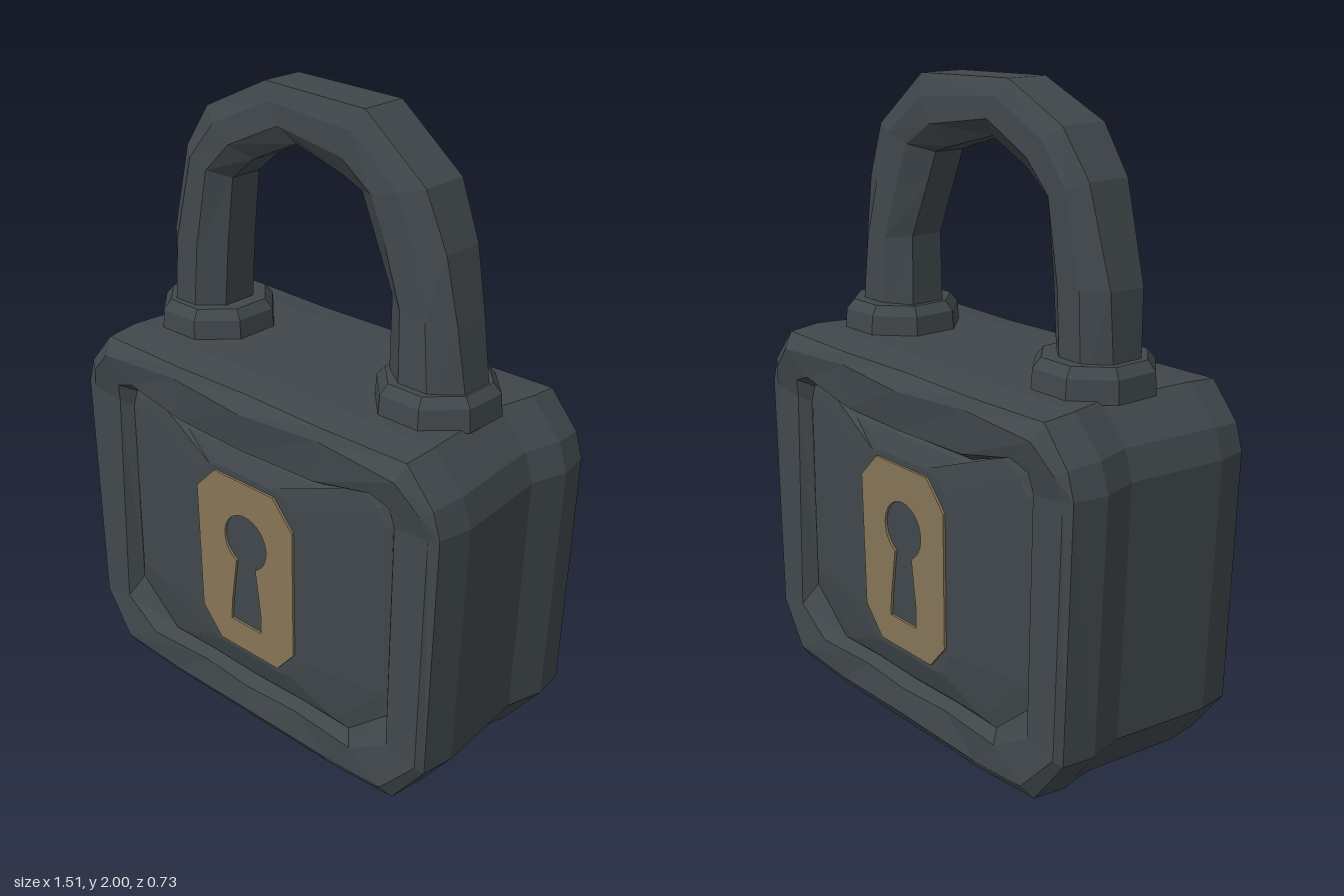
import * as THREE from 'three';

const mat = (name, color) => {
  const m = new THREE.MeshStandardMaterial({ color });
  m.name = name;
  return m;
};

// Skins a list of equal-length rings (counter-clockwise seen from the last ring) and caps both ends.
function loft(rings) {
  const pos = [];
  const tri = (...pts) => pts.forEach((p) => pos.push(...p));
  const n = rings[0].length;
  for (let r = 0; r < rings.length - 1; r++) {
    const a = rings[r], b = rings[r + 1];
    for (let i = 0; i < n; i++) {
      const j = (i + 1) % n;
      tri(a[i], a[j], b[j]);
      tri(a[i], b[j], b[i]);
    }
  }
  const mid = (ring) => [0, 1, 2].map((k) => ring.reduce((s, p) => s + p[k], 0) / n);
  const first = rings[0], last = rings[rings.length - 1];
  for (let i = 0; i < n; i++) {
    const j = (i + 1) % n;
    tri(mid(first), first[j], first[i]);
    tri(mid(last), last[i], last[j]);
  }
  const g = new THREE.BufferGeometry();
  g.setAttribute('position', new THREE.Float32BufferAttribute(pos, 3));
  g.computeVertexNormals(); // unshared corners give flat facets
  return g;
}

// Mirrors a right-hand half outline (bottom centre to top centre) into a closed ring; z is a number or list.
function ring(half, z, sx = 1) {
  const right = half.map(([x, y], i) => [x * sx, y, Array.isArray(z) ? z[i] : z]);
  const left = right.slice(1, -1).reverse().map(([x, y, d]) => [-x, y, d]);
  return [...right, ...left];
}

function bodyGeometry() {
  const outer = [[0, 0], [0.35, 0], [0.6, 0.02], [0.725, 0.18], [0.755, 0.97], [0.725, 1.06], [0.62, 1.17], [0.3, 1.17], [0, 1.17]];
  const edge = [[0, 0.01], [0.35, 0.01], [0.59, 0.025], [0.71, 0.18], [0.735, 0.97], [0.71, 1.05], [0.615, 1.16], [0.3, 1.155], [0, 1.16]];
  const face = [[0, 0.06], [0.34, 0.04], [0.57, 0.07], [0.69, 0.2], [0.7, 0.96], [0.68, 1.03], [0.6, 1.11], [0.3, 1.12], [0, 1.11]];
  const opening = [[0, 0.14], [0.2, 0.145], [0.44, 0.14], [0.58, 0.22], [0.58, 0.95], [0.57, 1.01], [0.5, 1.035], [0.28, 0.985], [0, 0.985]];
  const groove = [[0, 0.155], [0.2, 0.16], [0.39, 0.155], [0.55, 0.29], [0.55, 0.93], [0.53, 0.99], [0.47, 1.02], [0.28, 0.96], [0, 0.958]];
  const panel = [[0, 0.165], [0.2, 0.17], [0.34, 0.17], [0.535, 0.36], [0.53, 0.92], [0.5, 0.97], [0.43, 1.01], [0.28, 0.95], [0, 0.95]];
  const flat = [[0, 0.25], [0.14, 0.25], [0.17, 0.26], [0.22, 0.33], [0.22, 0.8], [0.2, 0.84], [0.16, 0.88], [0.1, 0.89], [0, 0.89]];
  const faceZ = [0.362, 0.345, 0.36, 0.345, 0.332, 0.345, 0.36, 0.342, 0.364];
  const openZ = [0.35, 0.342, 0.352, 0.345, 0.33, 0.34, 0.345, 0.338, 0.35];

  // Front half: sides, raised frame, groove, shallow domed panel
  const front = [
    ring(outer, 0.22),
    ring(edge, 0.325),
    ring(face, faceZ),
    ring(opening, openZ),
    ring(groove, 0.298),
    ring(panel, 0.308),
    ring(flat, 0.334),
  ];
  const back = front.map((r) => r.map(([x, y, z]) => [x, y, -z])).reverse();
  return loft([...back, ring(outer, -0.1, 0.955), ...front]);
}

function shackleGeometry() {
  // Each station: outer x, y, inner x, y, back z, front z
  const stations = [
    [-0.59, 1.17, -0.365, 1.17, -0.11, 0.13], [-0.58, 1.46, -0.345, 1.46, -0.11, 0.12],
    [-0.5, 1.75, -0.32, 1.68, -0.11, 0.112], [-0.4, 1.89, -0.23, 1.755, -0.11, 0.105],
    [-0.17, 2.0, -0.07, 1.83, -0.1, 0.08], [0.22, 1.99, 0.12, 1.78, -0.11, 0.09],
    [0.45, 1.82, 0.2, 1.755, -0.1, 0.11], [0.52, 1.65, 0.245, 1.65, -0.1, 0.11],
    [0.56, 1.45, 0.32, 1.48, -0.105, 0.115], [0.605, 1.17, 0.32, 1.17, -0.11, 0.13],
  ];
  return loft(stations.map(([ox, oy, ix, iy, zb, zf], k) => {
    const at = (t, z) => [ox + (ix - ox) * t, oy + (iy - oy) * t, z];
    const crown = 0.42 + 0.35 * Math.sin((Math.PI * k) / 9); // legs are rounder, the arch flatter on top
    return [
      at(0, zb * crown), at(0, zf * crown), at(0.3, zf), at(0.68, zf),
      at(1, zf * 0.5), at(1, zb * 0.5), at(0.68, zb), at(0.3, zb),
    ];
  }));
}

// Eight-sided collar with a bevelled top
function collarGeometry() {
  const profile = [[0.19, 0], [0.185, 0.07], [0.16, 0.1], [0.01, 0.1]].map(([r, y]) => new THREE.Vector2(r, y));
  const g = new THREE.LatheGeometry(profile, 8, Math.PI / 8).toNonIndexed();
  g.computeVertexNormals();
  return g;
}

// Octagonal plate with a keyhole cut through it
function plateGeometry() {
  const shape = new THREE.Shape([
    [-0.12, 0.27], [0.13, 0.27], [0.2, 0.35], [0.2, 0.78], [0.12, 0.87], [-0.13, 0.87], [-0.21, 0.79], [-0.2, 0.36],
  ].map(([x, y]) => new THREE.Vector2(x, y)));
  const hole = new THREE.Path();
  hole.moveTo(-0.07, 0.365);
  hole.lineTo(-0.065, 0.43);
  hole.lineTo(-0.042, 0.585);
  hole.absarc(0, 0.667, 0.09, Math.PI * 1.35, -Math.PI * 0.35, true);
  hole.lineTo(0.062, 0.43);
  hole.lineTo(0.06, 0.365);
  hole.closePath();
  shape.holes.push(hole);
  return new THREE.ExtrudeGeometry(shape, { depth: 0.008, bevelEnabled: false, curveSegments: 14 });
}

export function createModel() {
  const iron = mat('dark iron', 0x40474b);
  const brass = mat('aged brass', 0x867556);
  const model = new THREE.Group();
  model.name = 'padlock';

  const add = (name, geometry, material, parent = model) => {
    const mesh = new THREE.Mesh(geometry, material);
    mesh.name = name;
    parent.add(mesh);
    return mesh;
  };

  add('body', bodyGeometry(), iron);
  add('shackle', shackleGeometry(), iron);

  // Collars where the shackle enters the body
  const collar = collarGeometry();
  add('leftCollar', collar, iron).position.set(0.45, 1.16, 0);
  add('rightCollar', collar, iron).position.set(-0.46, 1.16, 0);

  // Keyhole plates on both faces
  const plate = plateGeometry();
  for (const [name, turn] of [['frontKeyholePlate', 0], ['backKeyholePlate', Math.PI]]) {
    const holder = new THREE.Group();
    holder.name = name;
    holder.rotation.y = turn;
    add('keyholePlate', plate, brass, holder).position.z = 0.335;
    model.add(holder);
  }
  return model;
}
